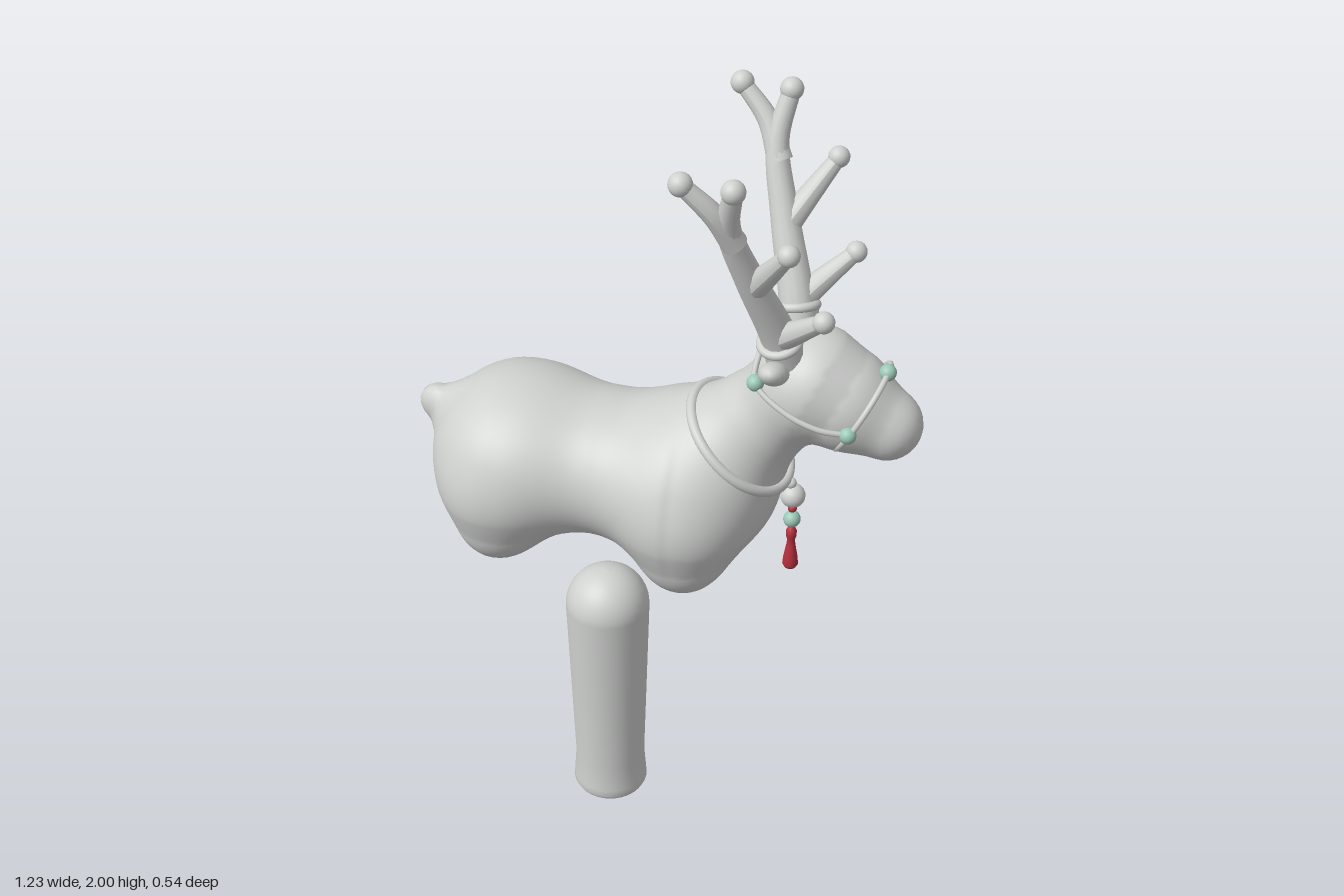
import * as THREE from 'three';

const mat = (name, color) => Object.assign(new THREE.MeshStandardMaterial({ color }), { name });
const V = (x, y, z = 0) => new THREE.Vector3(x, y, z);

// Rounded masses of the animal: [start, end, start radius, end radius, width stretch, blend]
const masses = [
  [[-0.37, 1.04, 0], [-0.35, 1.04, 0], 0.205, 0.205, 1.15, 0.05], // rump
  [[-0.35, 1.05, 0], [0.05, 1.05, 0], 0.175, 0.175, 1.12, 0.06], // barrel
  [[0.06, 1.04, 0], [0.08, 1.04, 0], 0.2, 0.195, 1.18, 0.06], // shoulders
  [[0.12, 1.12, 0], [0.32, 1.35, 0], 0.15, 0.1, 1, 0.09], // neck
  [[0.36, 1.378, 0], [0.42, 1.35, 0], 0.13, 0.118, 1.02, 0.06], // head
  [[0.46, 1.315, 0], [0.53, 1.292, 0], 0.09, 0.084, 1, 0.05], // muzzle
  [[-0.53, 1.12, 0], [-0.573, 1.135, 0], 0.07, 0.047, 0.75, 0.05], // tail
];
for (const x of [-0.387, 0.08]) // stubby legs
  for (const s of [-1, 1]) masses.push([[x, 0.98, 0.115 * s], [x, 0.9, 0.112 * s], 0.11, 0.098, 1, 0.07]);

// Smoothly blended distance to all masses
function dist(x, y, z) {
  let d = 9;
  for (const [a, b, ra, rb, w, k] of masses) {
    const ux = b[0] - a[0], uy = b[1] - a[1], uz = b[2] - a[2];
    const t = Math.min(1, Math.max(0,
      ((x - a[0]) * ux + (y - a[1]) * uy + (z - a[2]) * uz) / (ux * ux + uy * uy + uz * uz)));
    const e = Math.hypot(x - a[0] - ux * t, y - a[1] - uy * t, (z - a[2] - uz * t) / w) - ra - (rb - ra) * t;
    const h = Math.max(k - Math.abs(d - e), 0) / k;
    d = Math.min(d, e) - h * h * k * 0.25;
  }
  return d;
}

function gradient([x, y, z]) {
  const e = 0.002;
  return [
    (dist(x + e, y, z) - dist(x - e, y, z)) / (2 * e),
    (dist(x, y + e, z) - dist(x, y - e, z)) / (2 * e),
    (dist(x, y, z + e) - dist(x, y, z - e)) / (2 * e),
  ];
}

// Skin the blended masses with a grid of quads pulled onto the surface
function skinGeometry() {
  const c = 0.018, lo = [-0.68, 0.74, -0.306], n = [76, 46, 35];
  const id = (i, j, k) => (k * n[1] + j) * n[0] + i;
  const at = (i, o = 0) => i.map((q, a) => lo[a] + (q + o) * c);
  const val = new Float32Array(n[0] * n[1] * n[2]);
  const each = (fn) => {
    for (let k = 1; k < n[2] - 1; k++)
      for (let j = 1; j < n[1] - 1; j++)
        for (let i = 1; i < n[0] - 1; i++) fn([i, j, k]);
  };
  for (let k = 0; k < n[2]; k++)
    for (let j = 0; j < n[1]; j++)
      for (let i = 0; i < n[0]; i++) val[id(i, j, k)] = dist(...at([i, j, k]));

  const pos = [], nor = [], idx = [], made = new Map();
  const vertex = (cell) => {
    const key = id(...cell);
    if (made.has(key)) return made.get(key);
    let p = at(cell, 0.5), g;
    for (let s = 0; s < 4; s++) {
      g = gradient(p);
      const f = dist(...p) / Math.max(0.2, g[0] ** 2 + g[1] ** 2 + g[2] ** 2);
      p = p.map((q, a) => q - g[a] * f);
    }
    g = gradient(p);
    const l = Math.hypot(...g) || 1;
    pos.push(...p);
    nor.push(...g.map((q) => q / l));
    made.set(key, pos.length / 3 - 1);
    return pos.length / 3 - 1;
  };
  each((cell) => {
    for (let a = 0; a < 3; a++) {
      const next = [...cell];
      next[a]++;
      const inA = val[id(...cell)] < 0, inB = val[id(...next)] < 0;
      if (inA === inB) continue;
      const b = (a + 1) % 3, d = (a + 2) % 3;
      const q = [[1, 1], [0, 1], [0, 0], [1, 0]].map(([s, t]) => {
        const m = [...cell];
        m[b] -= s;
        m[d] -= t;
        return vertex(m);
      });
      if (!inA) q.reverse();
      idx.push(q[0], q[1], q[2], q[0], q[2], q[3]);
    }
  });
  const geo = new THREE.BufferGeometry();
  geo.setAttribute('position', new THREE.Float32BufferAttribute(pos, 3));
  geo.setAttribute('normal', new THREE.Float32BufferAttribute(nor, 3));
  geo.setIndex(idx);
  return geo;
}

// Round branch along a curve, thinning from r0 to r1
function branchGeometry(points, r0, r1) {
  const curve = new THREE.CatmullRomCurve3(points), seg = 24, sides = 14;
  const geo = new THREE.TubeGeometry(curve, seg, 1, sides);
  const p = geo.attributes.position, v = V(0, 0);
  for (let i = 0; i < p.count; i++) {
    const t = Math.floor(i / (sides + 1)) / seg, o = curve.getPointAt(t);
    v.fromBufferAttribute(p, i).sub(o).multiplyScalar(r0 + (r1 - r0) * t).add(o);
    p.setXYZ(i, v.x, v.y, v.z);
  }
  geo.computeVertexNormals();
  return geo;
}

export function createModel() {
  const model = new THREE.Group();
  model.name = 'deerOnHandle';
  const grey = mat('pale grey', 0xcfd1cf);
  const jade = mat('jade green', 0x9cc9b8);
  const red = mat('tassel red', 0xb8303f);

  const add = (name, geo, material, parent = model) => {
    const m = new THREE.Mesh(geo, material);
    m.name = name;
    parent.add(m);
    return m;
  };
  const ball = (name, p, r, material, parent) => {
    const m = add(name, new THREE.SphereGeometry(r, 20, 14), material, parent);
    m.position.copy(p);
    return m;
  };
  const ring = (name, p, axis, r, tube, parent) => {
    const m = add(name, new THREE.TorusGeometry(r, tube, 12, 48), grey, parent);
    m.position.copy(p);
    m.quaternion.setFromUnitVectors(V(0, 0, 1), axis.clone().normalize());
    return m;
  };
  const lathe = (name, pts, material) =>
    add(name, new THREE.LatheGeometry(pts.map(([x, y]) => new THREE.Vector2(x, y)), 40), material);

  add('body', skinGeometry(), grey);

  // Handle with a domed top
  const profile = [[0, 0], [0.09, 0], [0.09, 0], [0.096, 0.012], [0.095, 0.03], [0.09, 0.1], [0.098, 0.35], [0.106, 0.6]];
  for (let i = 1; i <= 10; i++) {
    const a = (i / 10) * Math.PI / 2;
    profile.push([0.106 * Math.cos(a), 0.6 + 0.106 * Math.sin(a)]);
  }
  lathe('handle', profile, grey).position.x = -0.15;

  // Antlers, ears and bridle straps on both sides
  for (const s of [1, -1]) {
    const side = new THREE.Group();
    side.name = s > 0 ? 'leftHeadParts' : 'rightHeadParts';
    model.add(side);
    const P = (x, y, z) => V(x, y, z * s);
    const tips = [P(0.222, 1.974, 0.243), P(0.108, 1.974, 0.243), P(0.34, 1.832, 0.225), P(0.406, 1.637, 0.155)];
    add('antlerBeam', branchGeometry([P(0.305, 1.45, 0.055), P(0.288, 1.54, 0.082), P(0.238, 1.71, 0.148),
      P(0.203, 1.86, 0.203), tips[0]], 0.046, 0.021), grey, side);
    add('antlerFork', branchGeometry([P(0.213, 1.82, 0.19), P(0.175, 1.9, 0.222), tips[1]], 0.03, 0.019), grey, side);
    add('antlerUpperTine', branchGeometry([P(0.245, 1.69, 0.14), P(0.285, 1.75, 0.178), tips[2]], 0.032, 0.018), grey, side);
    add('antlerLowerTine', branchGeometry([P(0.29, 1.53, 0.08), P(0.335, 1.572, 0.112), tips[3]], 0.034, 0.018), grey, side);
    tips.forEach((t, i) => ball('antlerTip', t, i < 2 ? 0.027 : 0.025, grey, side));
    ring('antlerBurr', P(0.292, 1.522, 0.078), P(-0.14, 0.9, 0.33), 0.044, 0.011, side);

    const ear = ball('ear', P(0.295, 1.473, 0.14), 0.034, grey, side);
    ear.scale.set(1, 0.8, 1.65);
    ear.rotation.x = -0.5 * s;

    add('cheekStrap', new THREE.TubeGeometry(new THREE.CatmullRomCurve3([P(0.465, 1.325, 0.117), P(0.4, 1.34, 0.137),
      P(0.32, 1.372, 0.137), P(0.245, 1.417, 0.105), P(0.24, 1.462, 0.06), P(0.243, 1.478, 0)]), 40, 0.007, 8), grey, side);
    ball('cheekBead', P(0.465, 1.325, 0.117), 0.02, jade, side);
    ball('napeBead', P(0.245, 1.417, 0.105), 0.02, jade, side);
  }
  ring('noseBand', V(0.472, 1.33), V(0.88, -0.47), 0.115, 0.007);
  ball('noseBead', V(0.525, 1.432), 0.02, jade);

  // Collar with hanging beads and tassel
  ring('collar', V(0.188, 1.187), V(0.65, 0.76), 0.15, 0.013);
  ball('pendantLink', V(0.312, 1.077), 0.014, grey);
  ball('pendantBead', V(0.318, 1.042), 0.03, grey);
  ball('redSpacer', V(0.318, 1.004), 0.011, red);
  ball('pendantJade', V(0.318, 0.972), 0.021, jade);
  lathe('tassel', [[0, 0.83], [0.015, 0.83], [0.019, 0.838], [0.017, 0.86], [0.011, 0.895], [0.009, 0.91],
    [0.013, 0.922], [0.013, 0.936], [0.008, 0.948], [0, 0.955]], red).position.x = 0.318;
  return model;
}
